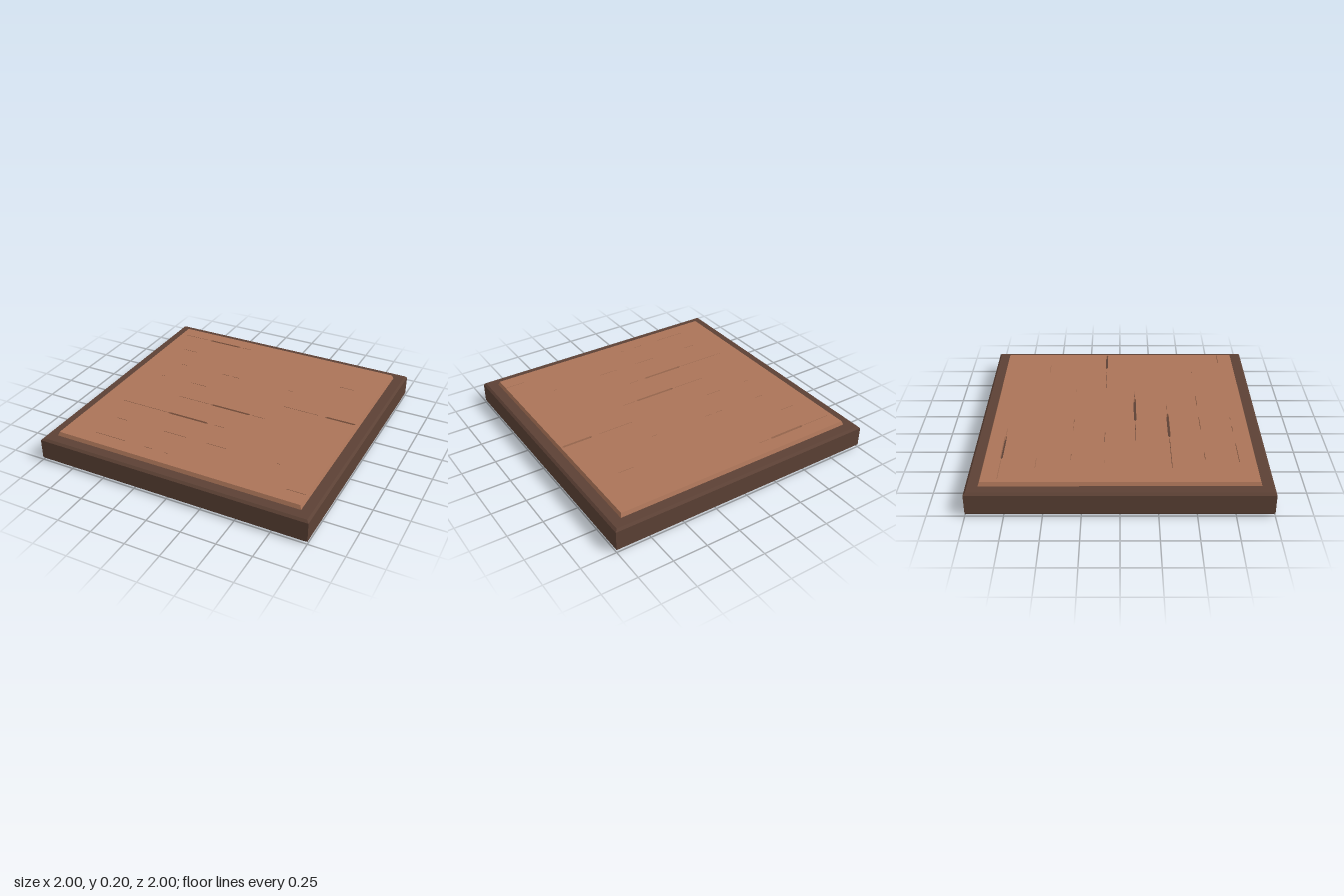
import * as THREE from 'three';

const frameMat = new THREE.MeshStandardMaterial({ color: 0x5c4135 });
frameMat.name = 'dark brown';
const panelMat = new THREE.MeshStandardMaterial({ color: 0xab7458 });
panelMat.name = 'tan wood';

// Square solid from a [half width, height] profile, bottom to top, with flat faces
function squareLathe(name, profile, material) {
  const points = profile.map(([r, y]) => new THREE.Vector2(r * Math.SQRT2, y));
  const geo = new THREE.LatheGeometry(points, 4, Math.PI / 4).toNonIndexed();
  geo.computeVertexNormals();
  const mesh = new THREE.Mesh(geo, material);
  mesh.name = name;
  return mesh;
}

// Slit outline with pointed ends, in the panel's plane (y = -z)
function slit(x0, x1, z, halfWidth) {
  const tip = Math.min(halfWidth * 2, (x1 - x0) / 3);
  return new THREE.Path([
    [x0, 0], [x0 + tip, -halfWidth], [x1 - tip, -halfWidth],
    [x1, 0], [x1 - tip, halfWidth], [x0 + tip, halfWidth],
  ].map(([x, d]) => new THREE.Vector2(x, d - z)));
}

export function createModel() {
  const group = new THREE.Group();
  group.name = 'floorTile';

  // Bevelled base slab
  group.add(squareLathe('baseFrame', [
    [0, 0.004], [0.985, 0.004], [1, 0.02], [1, 0.16], [0.985, 0.175], [0, 0.175],
  ], frameMat));

  // Underside panel, a hair proud of the base
  group.add(squareLathe('undersidePanel', [
    [0, 0], [0.86, 0], [0.86, 0.006],
  ], panelMat));

  // Sloping edge of the top panel
  group.add(squareLathe('panelEdge', [[0.915, 0.175], [0.905, 0.202]], panelMat));

  // Planked top, with narrow gaps open down to the base
  const h = 0.905;
  const top = new THREE.Shape([[-h, -h], [h, -h], [h, h], [-h, h]].map(([x, y]) => new THREE.Vector2(x, y)));
  const wide = [[-0.64, -0.35, -0.795], [0.66, 0.9, -0.105], [-0.15, 0.18, 0.11], [-0.37, -0.04, 0.345]];
  const narrow = [
    [-0.87, -0.65, -0.795], [-0.34, -0.25, -0.795],
    [-0.75, -0.63, -0.56], [0.6, 0.72, -0.555],
    [-0.65, -0.58, -0.33], [-0.28, -0.22, -0.33], [-0.19, -0.13, -0.33], [0.28, 0.32, -0.33],
    [-0.69, -0.65, -0.105], [-0.43, -0.3, -0.105], [0.34, 0.61, -0.105],
    [-0.41, -0.16, 0.11], [0.19, 0.29, 0.11],
    [-0.75, -0.38, 0.345], [0.01, 0.09, 0.345],
    [-0.65, -0.56, 0.57], [-0.27, -0.09, 0.57], [0.07, 0.22, 0.57], [0.59, 0.62, 0.57],
    [-0.68, -0.44, 0.795], [-0.29, -0.22, 0.795], [-0.13, -0.1, 0.795], [0.76, 0.9, 0.795],
  ];
  wide.forEach(([a, b, z]) => top.holes.push(slit(a, b, z, 0.009)));
  narrow.forEach(([a, b, z]) => top.holes.push(slit(a, b, z, 0.002)));
  const geo = new THREE.ExtrudeGeometry(top, { depth: 0.028, bevelEnabled: false });
  geo.rotateX(-Math.PI / 2);
  geo.translate(0, 0.174, 0);
  const panel = new THREE.Mesh(geo, panelMat);
  panel.name = 'plankedTop';
  group.add(panel);

  return group;
}
